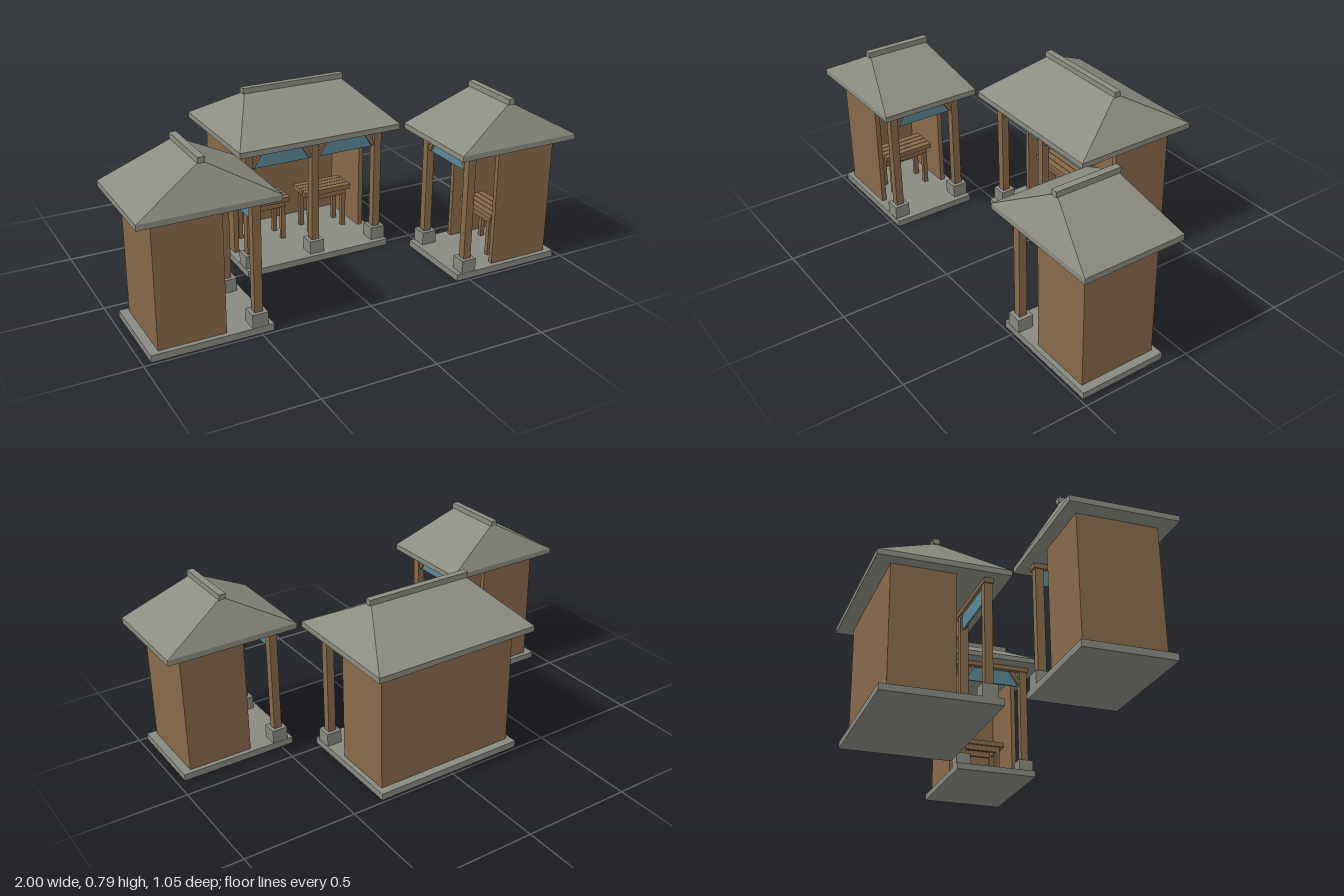
import * as THREE from 'three';

const material = (name, color) => {
  const m = new THREE.MeshStandardMaterial({ color });
  m.name = name;
  return m;
};

export function createModel() {
  const wood = material('wood', 0x87694a);
  const stone = material('stone', 0x888981);
  const slate = material('slate', 0x8c8c82);
  const cloth = material('tealCloth', 0x5a8796);

  // Box given by its centre x, bottom and top y, centre z, width and depth
  function box(parent, name, mat, x, y0, y1, z, w, d) {
    const mesh = new THREE.Mesh(new THREE.BoxGeometry(w, y1 - y0, d), mat);
    mesh.name = name;
    mesh.position.set(x, (y0 + y1) / 2, z);
    parent.add(mesh);
    return mesh;
  }

  // Slatted table on four legs
  function table(x, z) {
    const g = new THREE.Group();
    g.name = 'table';
    g.position.set(x, 0, z);
    for (let i = 0; i < 4; i++) box(g, 'tablePlank', wood, 0, 0.217, 0.24, -0.048 + i * 0.032, 0.24, 0.029);
    for (const s of [-1, 1]) {
      box(g, 'tableRail', wood, 0, 0.19, 0.217, s * 0.045, 0.2, 0.014);
      box(g, 'tableCleat', wood, s * 0.088, 0.195, 0.217, 0, 0.018, 0.1);
      for (const t of [-1, 1]) box(g, 'tableLeg', wood, s * 0.088, 0.03, 0.195, t * 0.045, 0.02, 0.02);
    }
    return g;
  }

  // Open-fronted stall facing +z; outer posts stand at x = -half and +half
  function stall(name, half, bays) {
    const g = new THREE.Group();
    g.name = name;
    box(g, 'floorSlab', stone, 0, 0, 0.03, 0.003, 2 * half + 0.073, 0.523);

    // Walls
    const outer = half + 0.0145;
    box(g, 'backWall', wood, 0, 0.03, 0.58, -0.21, 2 * outer, 0.022);
    for (const s of [-1, 1]) box(g, 'sideWall', wood, s * (outer - 0.011), 0.03, 0.58, -0.066, 0.022, 0.266);

    // Posts on stone feet, under a front beam
    const step = 2 * half / bays;
    for (let i = 0; i <= bays; i++) {
      const x = -half + i * step;
      box(g, 'postFoot', stone, x, 0.03, 0.09, 0.205, 0.07, 0.07);
      box(g, 'post', wood, x, 0.09, 0.56, 0.205, 0.036, 0.036);
    }
    box(g, 'frontBeam', wood, 0, 0.558, 0.58, 0.205, 2 * half + 0.05, 0.044);

    // Each bay has a hanging cloth, two corner braces and a table
    for (let i = 0; i < bays; i++) {
      const x = -half + (i + 0.5) * step;
      box(g, 'hangingCloth', cloth, x, 0.485, 0.56, 0.2, step - 0.036, 0.008);
      for (const s of [-1, 1]) {
        const brace = box(g, 'cornerBrace', wood, x + s * (step / 2 - 0.038), 0.517, 0.535, 0.207, 0.075, 0.02);
        brace.rotation.z = -s * 1.0;
      }
      g.add(table(x, -0.018));
    }

    // Hipped roof with eaves slab and ridge beam
    const rx = half + 0.072, rz = 0.293;
    box(g, 'eavesSlab', slate, 0, 0.58, 0.605, 0, 2 * rx, 2 * rz);
    const roof = box(g, 'hippedRoof', slate, 0, 0.605, 0.762, 0, 2 * rx, 2 * rz);
    const p = roof.geometry.attributes.position;
    for (let i = 0; i < p.count; i++) {
      if (p.getY(i) > 0) {
        p.setX(i, p.getX(i) * 0.615);
        p.setZ(i, Math.sign(p.getZ(i)) * 0.012);
      }
    }
    roof.geometry.computeVertexNormals();
    box(g, 'ridgeBeam', slate, 0, 0.76, 0.785, 0, 2 * (rx * 0.615 + 0.008), 0.03);
    return g;
  }

  const model = new THREE.Group();
  model.name = 'marketStalls';

  const centre = stall('centreStall', 0.318, 2);
  centre.position.z = -0.229;
  model.add(centre);

  // Two small stalls face each other across the front
  for (const s of [-1, 1]) {
    const side = stall(s > 0 ? 'leftStall' : 'rightStall', 0.159, 1);
    side.position.set(s * 0.707, 0, 0.292);
    side.rotation.y = -s * Math.PI / 2;
    model.add(side);
  }
  return model;
}
